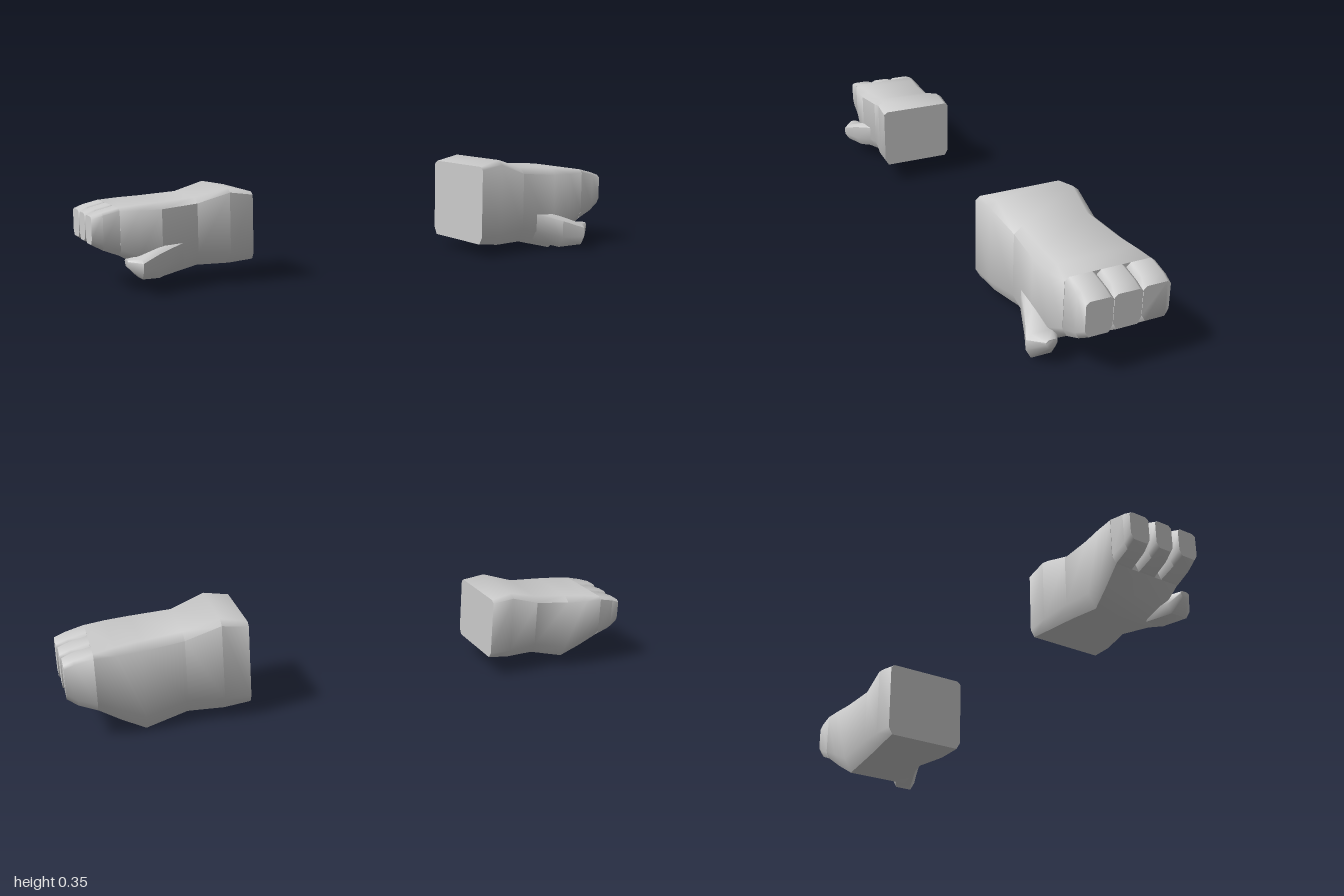
import * as THREE from 'three';
import { toCreasedNormals } from 'three/addons/utils/BufferGeometryUtils.js';

const material = new THREE.MeshStandardMaterial({ color: 0xcccccc });

// Chamfered rectangle across the arm; the lower corners are cut taller.
function section([x, top, bottom, front, back, c]) {
  const u = c * 0.8, v = c * 1.8;
  return [
    [x, top, back + c], [x, top, front - c], [x, top - u, front], [x, bottom + v, front],
    [x, bottom, front - c], [x, bottom, back + c], [x, bottom + v, back], [x, top - u, back],
  ];
}

// Closed skin over a row of sections; place() positions each point.
function loft(name, stations, place, mirrored) {
  const rings = stations.map(section);
  const n = rings[0].length, last = (rings.length - 1) * n;
  const index = [];
  const tri = (a, b, c) => (mirrored ? index.push(a, c, b) : index.push(a, b, c));
  for (let i = 0; i < rings.length - 1; i++) {
    for (let j = 0; j < n; j++) {
      const a = i * n + j, b = i * n + (j + 1) % n;
      tri(a, b, b + n);
      tri(a, b + n, a + n);
    }
  }
  for (let j = 1; j < n - 1; j++) {
    tri(0, j + 1, j);
    tri(last, last + j, last + j + 1);
  }
  const geometry = new THREE.BufferGeometry();
  geometry.setAttribute('position', new THREE.Float32BufferAttribute(rings.flat().flatMap(place), 3));
  geometry.setIndex(index);
  const mesh = new THREE.Mesh(toCreasedNormals(geometry, 0.95), material);
  mesh.name = name;
  return mesh;
}

function createHand(name, place, mirrored, tipGap) {
  const hand = new THREE.Group();
  hand.name = name;
  const add = (part, stations) => hand.add(loft(part, stations, place, mirrored));

  // wrist and palm: x, top, bottom, front, back, chamfer
  add('palm', [
    [0.40, 0.335, 0.05, 0.14, -0.17, 0.015],
    [0.49, 0.355, 0.04, 0.135, -0.175, 0.022],
    [0.61, 0.32, 0.038, 0.112, -0.165, 0.028],
    [0.75, 0.31, 0.005, 0.122, -0.18, 0.03],
    [0.83, 0.305, 0.055, 0.115, -0.19, 0.025],
    [0.90, 0.298, 0.105, 0.102, -0.194, 0.016],
  ]);

  // three fingers side by side, split by narrow slits
  const roots = [0.102, 0, -0.097, -0.194];
  const tips = [0.09, 0, -0.096, -0.188];
  for (let i = 0; i < 3; i++) {
    const front = i > 0 ? tipGap : 0, back = i < 2 ? tipGap : 0;
    const end = 1 - i * 0.004;
    add('finger', [
      [0.90, 0.298, 0.105, roots[i] - 0.001, roots[i + 1] + 0.001, 0.014],
      [0.96, 0.283, 0.132, (roots[i] + tips[i]) / 2 - front * 0.5, (roots[i + 1] + tips[i + 1]) / 2 + back * 0.5, 0.012],
      [end, 0.27, 0.157, tips[i] - front, tips[i + 1] + back, 0.012],
    ]);
  }

  // short thumb leaning forward and out of the palm
  add('thumb', [
    [0.66, 0.16, 0.04, 0.112, 0.02, 0.02],
    [0.77, 0.13, 0.01, 0.153, 0.04, 0.022],
    [0.845, 0.10, 0.02, 0.188, 0.085, 0.018],
    [0.89, 0.098, 0.07, 0.147, 0.11, 0.008],
  ]);
  return hand;
}

export function createModel() {
  const model = new THREE.Group();
  model.name = 'handPair';
  model.add(createHand('leftHand', (p) => p, false, 0.002));
  // the right hand is a smaller mirror image with its fingers spread
  const toRight = ([x, y, z]) => [-(0.49 + (x - 0.4) * 0.85), 0.04 + y * 0.77, z * 0.855 - 0.005];
  model.add(createHand('rightHand', toRight, true, 0.013));
  return model;
}
